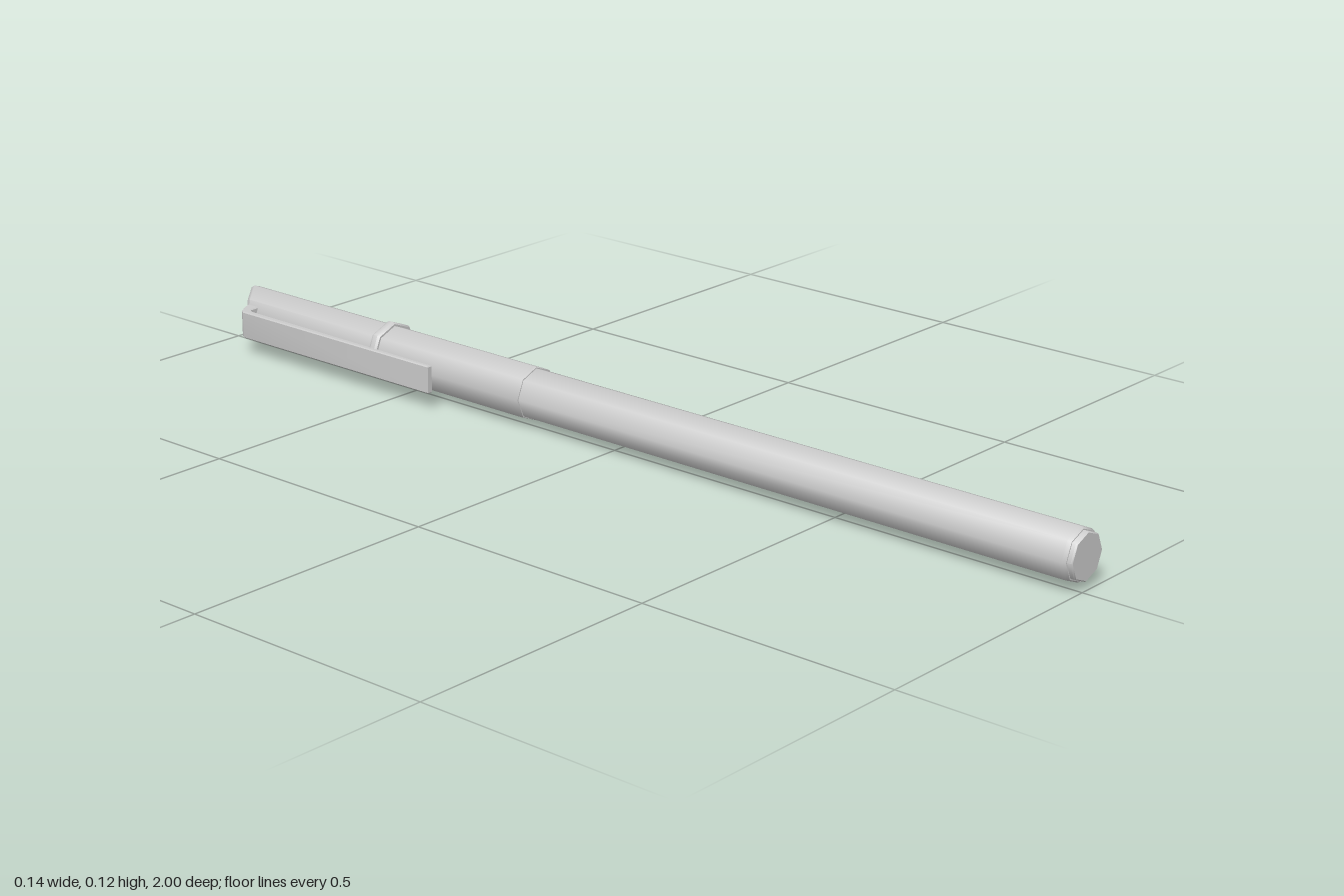
import * as THREE from 'three';
import { toCreasedNormals } from 'three/addons/utils/BufferGeometryUtils.js';

const CX = 0.01, CY = 0.059; // axis of the pen

export function createModel() {
  const group = new THREE.Group();
  const material = new THREE.MeshStandardMaterial({ color: 0xcccccc, side: THREE.DoubleSide });

  const add = (name, geometry, crease = 0.87) => {
    const mesh = new THREE.Mesh(toCreasedNormals(geometry, crease), material);
    mesh.name = name;
    group.add(mesh);
  };

  // Eight-sided turned part along z, profile given as [radius, z] with z rising
  const turned = (profile) => {
    const points = profile.map(([r, z]) => new THREE.Vector2(r, z));
    return new THREE.LatheGeometry(points, 8).rotateX(Math.PI / 2).translate(CX, CY, 0);
  };

  // Outline in (x, z) given a height in y
  const slab = (outline, y0, y1, bevel) => {
    const shape = new THREE.Shape(outline.map(([x, z]) => new THREE.Vector2(x, z)));
    return new THREE.ExtrudeGeometry(shape, {
      depth: y1 - y0 - 2 * bevel, bevelEnabled: bevel > 0, bevelSize: bevel,
      bevelThickness: bevel, bevelOffset: -bevel, bevelSegments: 1,
    }).rotateX(Math.PI / 2).translate(0, y1 - bevel, 0);
  };

  // Long barrel with a stepped end plug
  add('barrel', turned([[0, -0.25], [0.049, -0.25], [0.049, 0.983], [0.046, 0.99], [0.044, 0.99],
    [0.044, 0.997], [0.042, 1], [0, 1]]));

  // Cap, its closed end cut on a slant
  const cap = turned([[0, -1.004], [0.047, -1.004], [0.052, -0.996], [0.052, -0.585],
    [0.052, -0.205], [0.051, -0.2], [0.047, -0.2]]);
  const pos = cap.attributes.position;
  for (let i = 0; i < pos.count; i++) {
    if (pos.getZ(i) < -0.9) pos.setZ(i, pos.getZ(i) + (0.062 - pos.getX(i)) * 0.72);
  }
  add('cap', cap);

  // Raised band around the cap
  add('capBand', turned([[0.051, -0.586], [0.056, -0.586], [0.059, -0.581], [0.059, -0.571],
    [0.056, -0.566], [0.051, -0.566]]));

  // Flat clip joined to the slanted end
  add('clip', slab([[-0.02, -0.938], [-0.045, -0.928], [-0.064, -0.915], [-0.07, -0.905],
    [-0.07, -0.4], [-0.06, -0.4], [-0.057, -0.89], [-0.05, -0.905], [-0.02, -0.905]],
  0.033, 0.087, 0.002), 0.6);

  // Gripping bump inside the clip tip
  add('clipBump', slab([[-0.062, -0.465], [-0.062, -0.425], [-0.05, -0.435], [-0.045, -0.445],
    [-0.05, -0.455]], 0.046, 0.072, 0), 0.6);

  return group;
}
